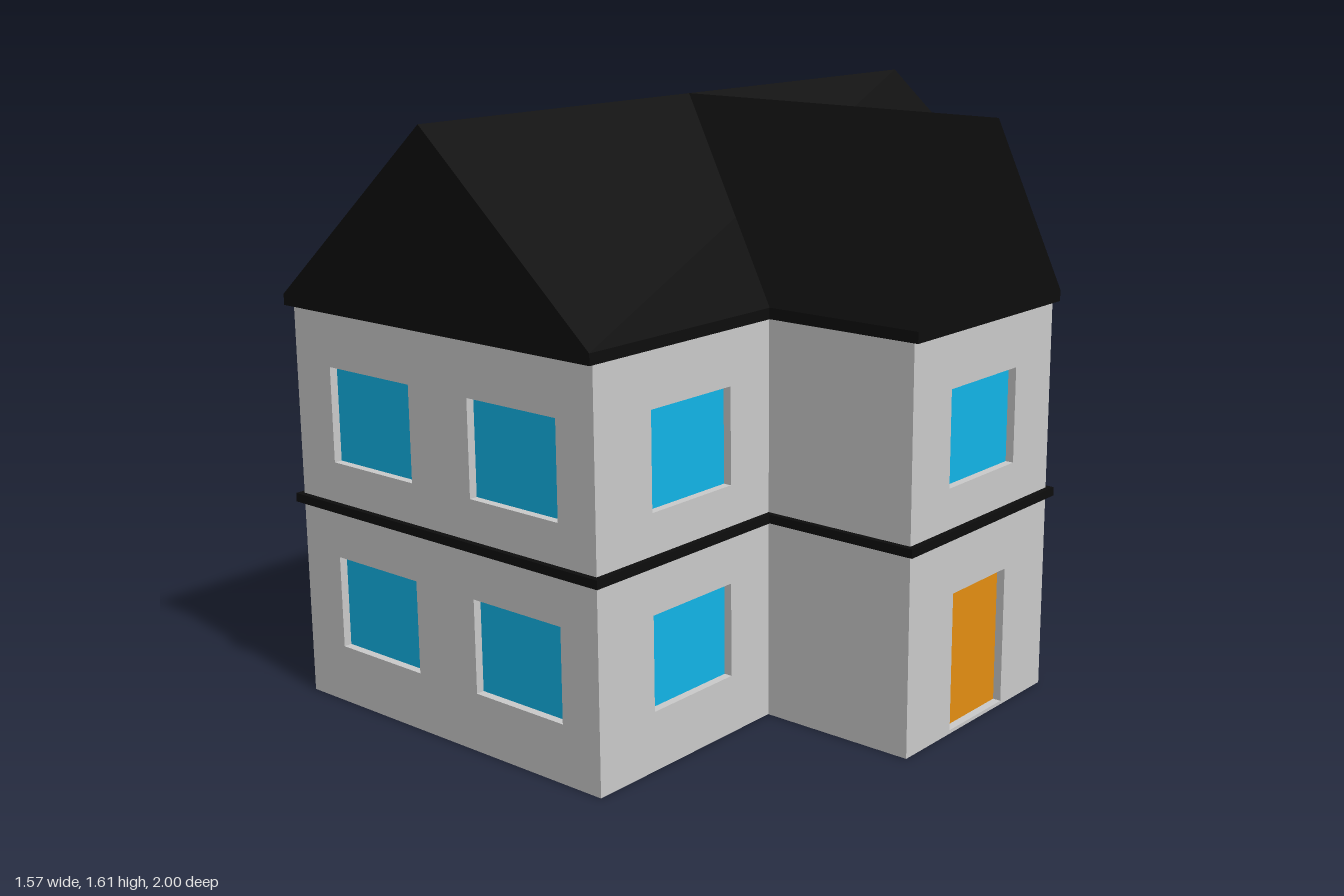
import * as THREE from 'three';

const mat = (color) => new THREE.MeshStandardMaterial({ color });
const wallMat = mat(0xcccccc), roofMat = mat(0x0d0d0d), glassMat = mat(0x12b5e8), doorMat = mat(0xe58f12);
const HALF_PI = Math.PI / 2, EAVE = 1.09, RECESS = 0.025;

const polygon = (pts) => new THREE.Shape(pts.map(([x, y]) => new THREE.Vector2(x, y)));
const extrude = (shape, depth) => new THREE.ExtrudeGeometry(shape, { depth, bevelEnabled: false });

function mesh(name, geometry, material) {
  const m = new THREE.Mesh(geometry, material);
  m.name = name;
  return m;
}

// T-shaped floor plan, grown outwards by an overhang
function planSlab(grow, height) {
  const l = -0.77 - grow, r = 0.315 + grow, e = 0.765 + grow, d = 0.98 + grow, w = 0.325 + grow;
  const shape = polygon([[l, -d], [r, -d], [r, -w], [e, -w], [e, w], [r, w], [r, d], [l, d]]);
  return extrude(shape, height).rotateX(-HALF_PI);
}

// Wall panel with recessed openings, facing outwards at the given angle and distance
function wall(name, angle, dist, u0, u1, windows = [], door = null) {
  const g = new THREE.Group();
  g.name = name;
  const outline = [[u0, 0]];
  if (door) {
    const [a, b, top] = door;
    outline.push([a, 0], [a, top], [b, top], [b, 0]);
  }
  outline.push([u1, 0], [u1, EAVE], [u0, EAVE]);
  const shape = polygon(outline);

  const pane = (label, a, b, y0, y1, material) => {
    const p = mesh(label, new THREE.PlaneGeometry(b - a, y1 - y0), material);
    p.position.set((a + b) / 2, (y0 + y1) / 2, -RECESS + 0.002);
    g.add(p);
  };
  for (const [a, b] of windows) {
    for (const [y0, y1, floor] of [[0.16, 0.415, 'lower'], [0.68, 0.94, 'upper']]) {
      if (door && floor === 'lower') continue;
      shape.holes.push(polygon([[a, y0], [a, y1], [b, y1], [b, y0]]));
      pane(floor + 'Window', a, b, y0, y1, glassMat);
    }
  }
  if (door) pane('door', door[0], door[1], 0, door[2], doorMat);

  g.add(mesh('wallPanel', extrude(shape, RECESS).translate(0, 0, -RECESS), wallMat));
  g.rotation.y = angle;
  g.position.set(Math.sin(angle) * dist, 0, Math.cos(angle) * dist);
  return g;
}

// Gable roof profile with a short vertical eave
function gable(halfWidth, length) {
  return extrude(polygon([
    [-halfWidth, EAVE], [halfWidth, EAVE], [halfWidth, 1.12], [0, 1.605], [-halfWidth, 1.12],
  ]), length);
}

export function createModel() {
  const house = new THREE.Group();
  house.name = 'house';

  // Ground floor base
  house.add(mesh('base', planSlab(0, 0.01), wallMat));

  // Walls of the main block
  house.add(wall('frontWall', 0, 0.98, -0.77, 0.315, [[-0.635, -0.33], [-0.115, 0.19]]));
  house.add(wall('backWall', Math.PI, 0.98, -0.315, 0.77, [[-0.19, 0.115], [0.33, 0.635]]));
  house.add(wall('longWall', -HALF_PI, 0.77, -0.98, 0.98, [[-0.815, -0.51], [-0.15, 0.155], [0.48, 0.78]]));
  house.add(wall('entranceSideFrontWall', HALF_PI, 0.315, -0.98, -0.325, [[-0.78, -0.48]]));
  house.add(wall('entranceSideBackWall', HALF_PI, 0.315, 0.325, 0.98, [[0.51, 0.815]]));

  // Walls of the entrance wing
  house.add(wall('wingFrontWall', 0, 0.325, 0.315, 0.765));
  house.add(wall('wingBackWall', Math.PI, 0.325, -0.765, -0.315));
  house.add(wall('entranceWall', HALF_PI, 0.765, -0.325, 0.325, [[-0.155, 0.15]], [-0.125, 0.125, 0.39]));

  // Dark band between the floors
  const band = mesh('floorBand', planSlab(0.016, 0.024), roofMat);
  band.position.y = 0.546;
  house.add(band);

  // Main roof along z, wing roof along x
  const mainRoof = mesh('mainRoof', gable(0.555, 2), roofMat);
  mainRoof.position.set(-0.23, 0, -1);
  const wingRoof = mesh('wingRoof', gable(0.335, 1.012), roofMat);
  wingRoof.rotation.y = HALF_PI;
  wingRoof.position.x = -0.23;
  house.add(mainRoof, wingRoof);

  return house;
}
